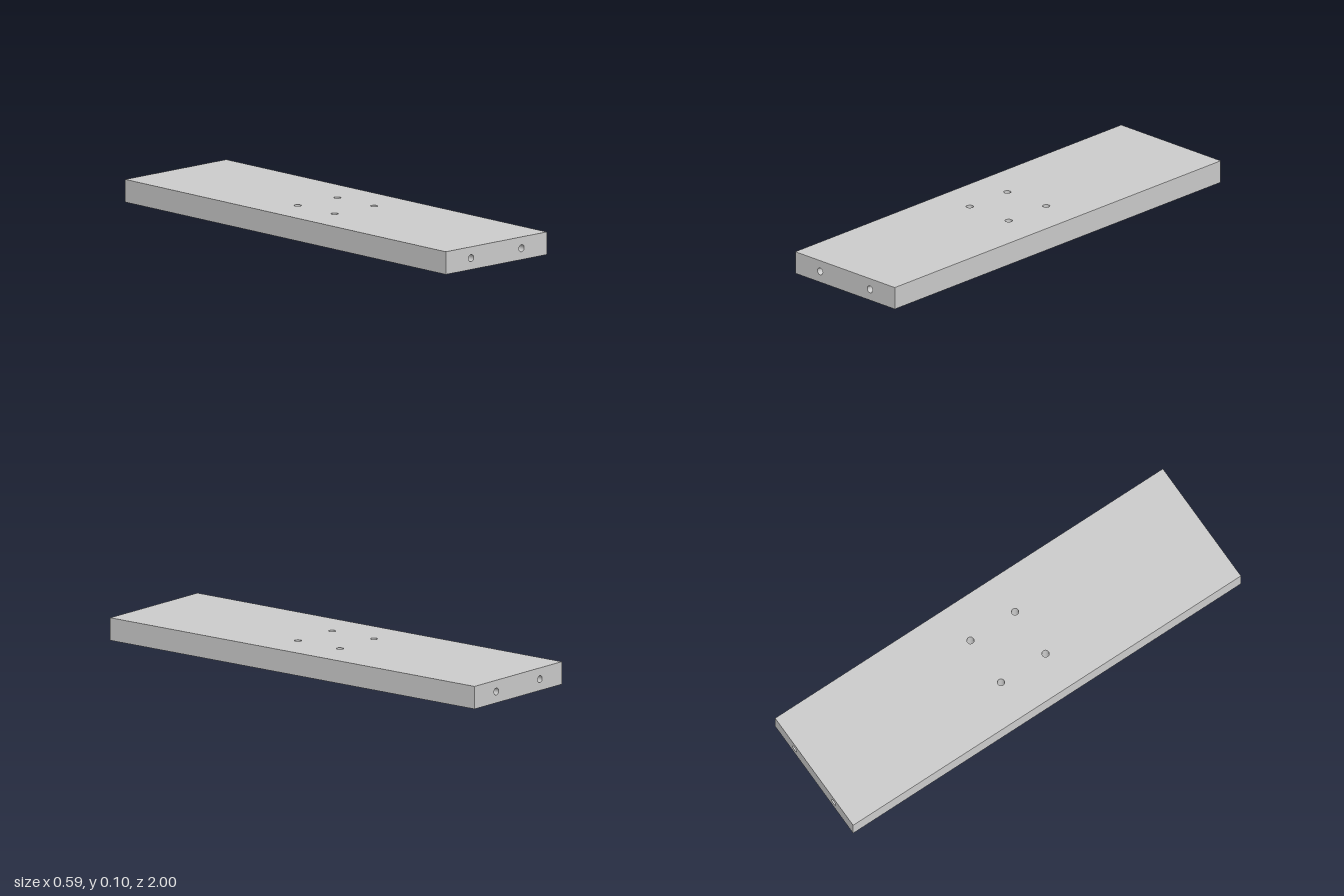
import * as THREE from 'three';

const W = 0.588, H = 0.099, L = 2;      // board width, thickness, length
const R = 0.0155, DEPTH = 0.2;          // hole radius, depth of the end holes
const SEG = 32;

const mat = new THREE.MeshStandardMaterial({ color: 0xcccccc });
const boreMat = new THREE.MeshStandardMaterial({ color: 0xcccccc, side: THREE.DoubleSide });

// Flat rectangle centred on the origin, facing +z, pierced by round holes
function face(name, w, h, holes = []) {
  const shape = new THREE.Shape();
  shape.moveTo(-w / 2, -h / 2).lineTo(w / 2, -h / 2).lineTo(w / 2, h / 2).lineTo(-w / 2, h / 2).closePath();
  for (const [x, y] of holes) {
    shape.holes.push(new THREE.Path().absarc(x, y, R, 0, Math.PI * 2, true));
  }
  const mesh = new THREE.Mesh(new THREE.ShapeGeometry(shape, SEG / 2), mat);
  mesh.name = name;
  return mesh;
}

// Inward-facing wall of a round hole, sunk from z = 0 towards -z
function bore(name, depth) {
  const profile = [new THREE.Vector2(R, 0), new THREE.Vector2(R, -depth)];
  const mesh = new THREE.Mesh(new THREE.LatheGeometry(profile, SEG).rotateX(Math.PI / 2), boreMat);
  mesh.name = name;
  return mesh;
}

export function createModel() {
  const board = new THREE.Group();
  board.name = 'drilledBoard';

  const mountHoles = [], endHoles = [];
  for (const sx of [-1, 1]) {
    endHoles.push([sx * 0.147, 0]);
    for (const sz of [-1, 1]) mountHoles.push([sx * 0.115, sz * 0.115]);
  }

  // Top and bottom faces with the four through holes
  const top = face('topFace', W, L, mountHoles);
  top.rotation.x = -Math.PI / 2;
  top.position.y = H;
  const bottom = face('bottomFace', W, L, mountHoles);
  bottom.rotation.x = Math.PI / 2;
  board.add(top, bottom);
  for (const [x, y] of mountHoles) {
    const hole = bore('mountingHole', H);
    hole.position.set(x, y, 0);
    top.add(hole);
  }

  // Long sides
  for (const s of [-1, 1]) {
    const side = face(s > 0 ? 'leftSide' : 'rightSide', L, H);
    side.rotation.y = s * Math.PI / 2;
    side.position.set(s * W / 2, H / 2, 0);
    board.add(side);
  }

  // Both ends, each with two blind holes
  for (const s of [1, -1]) {
    const end = face(s > 0 ? 'frontEnd' : 'backEnd', W, H, endHoles);
    end.rotation.y = s > 0 ? 0 : Math.PI;
    end.position.set(0, H / 2, s * L / 2);
    for (const [x, y] of endHoles) {
      const hole = bore('endHole', DEPTH);
      hole.position.set(x, y, 0);
      const floor = new THREE.Mesh(new THREE.CircleGeometry(R, SEG), mat);
      floor.name = 'endHoleFloor';
      floor.position.z = -DEPTH;
      hole.add(floor);
      end.add(hole);
    }
    board.add(end);
  }
  return board;
}
